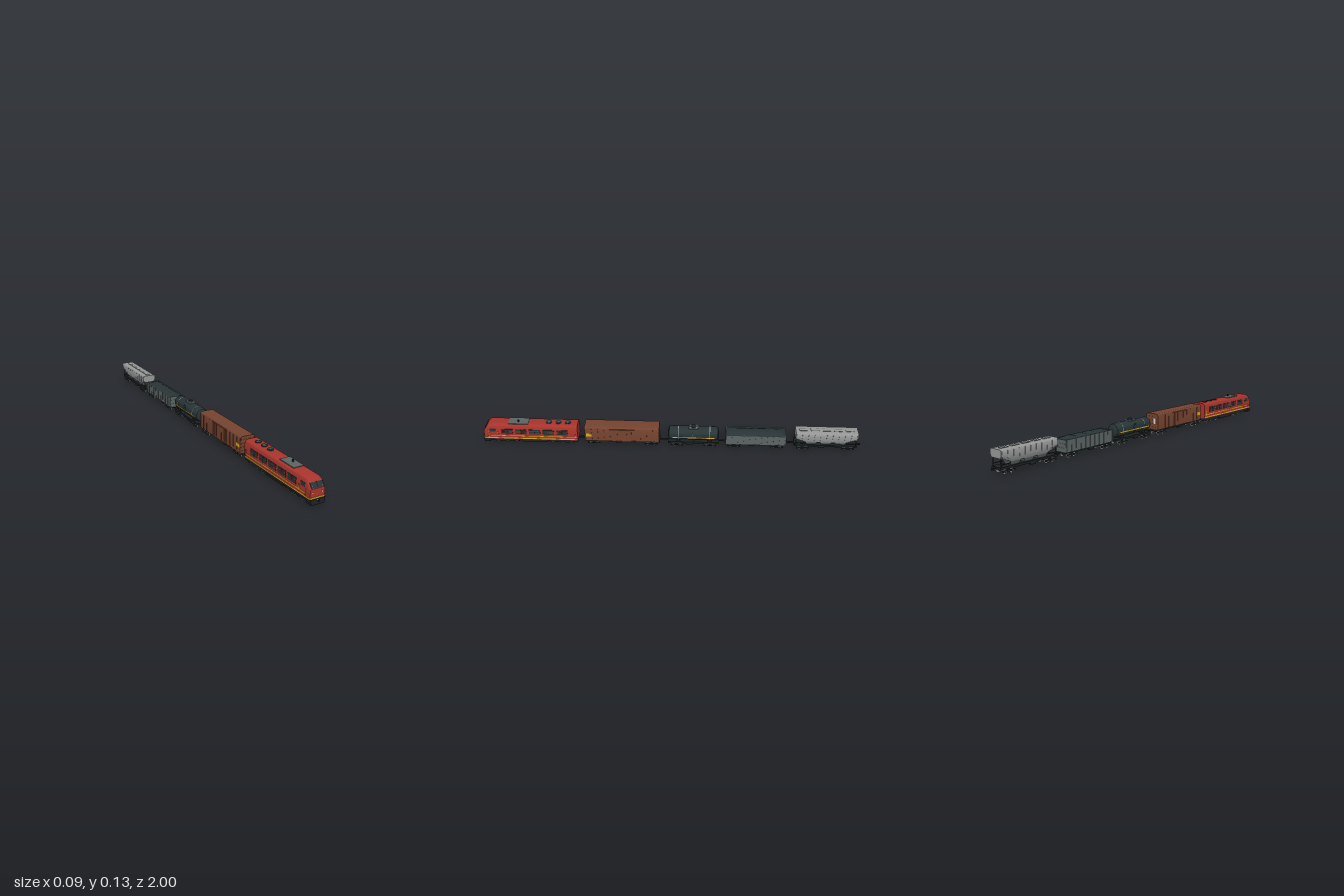
import * as THREE from 'three';
import { toCreasedNormals } from 'three/addons/utils/BufferGeometryUtils.js';

const mat = (name, color) => Object.assign(new THREE.MeshStandardMaterial({ color }), { name });
const red = mat('engine red', 0xa8342c), brown = mat('boxcar brown', 0x75432f), slate = mat('dark slate', 0x283436);
const black = mat('underframe black', 0x1d2224), grey = mat('mid grey', 0x5c6464), light = mat('hopper grey', 0x969998);
const yellow = mat('yellow', 0xdcaa1e), white = mat('off white', 0xd6d8d2), steel = mat('steel', 0x85898a);

function add(parent, name, geometry, material, x = 0, y = 0, z = 0) {
  const m = new THREE.Mesh(geometry, material);
  m.name = name;
  m.position.set(x, y, z);
  parent.add(m);
  return m;
}
const box = (p, name, material, w, h, d, x, y, z) => add(p, name, new THREE.BoxGeometry(w, h, d), material, x, y, z);
const cyl = (p, name, material, r, h, x, y, z, n = 16) => add(p, name, new THREE.CylinderGeometry(r, r, h, n), material, x, y, z);
const group = (p, name) => { const g = new THREE.Group(); g.name = name; p.add(g); return g; };
const bothSides = (f) => [-1, 1].forEach(f);

// Cross-section with rounded shoulders, counter-clockwise seen from +z
function arch(z, hw, bottom, top, r, bottomHw = hw) {
  const pts = [[bottomHw, bottom], [hw, bottom + (top - bottom) * 0.3]];
  for (let i = 0; i <= 6; i++) {
    const a = (i / 6) * Math.PI / 2;
    pts.push([hw - r + r * Math.cos(a), top - r + r * Math.sin(a)]);
  }
  const left = pts.map(([x, y]) => [-x, y]).reverse();
  return [...pts, ...left].map(([x, y]) => [x, y, z]);
}

// Closed skin over sections ordered from low z to high z
function loft(sections) {
  const n = sections[0].length, pos = sections.flat(2), idx = [];
  for (let i = 0; i < sections.length - 1; i++) {
    for (let j = 0; j < n; j++) {
      const k = (j + 1) % n, a = i * n + j, b = i * n + k;
      idx.push(a, b, b + n, a, b + n, a + n);
    }
  }
  const last = (sections.length - 1) * n;
  for (let j = 1; j < n - 1; j++) idx.push(0, j + 1, j, last, last + j, last + j + 1);
  const g = new THREE.BufferGeometry();
  g.setAttribute('position', new THREE.Float32BufferAttribute(pos, 3));
  g.setIndex(idx);
  return toCreasedNormals(g, 0.6);
}

// Bogie with side frames, axles and wheels
function bogie(parent, z, axles, gap) {
  const b = group(parent, 'bogie');
  b.position.z = z;
  const length = gap * (axles - 1) + 0.03;
  box(b, 'bolster', black, 0.05, 0.01, 0.02, 0, 0.017, 0);
  bothSides((s) => box(b, 'sideFrame', black, 0.004, 0.008, length, s * 0.03, 0.015, 0));
  for (let i = 0; i < axles; i++) {
    const az = (i - (axles - 1) / 2) * gap;
    cyl(b, 'axle', steel, 0.003, 0.056, 0, 0.012, az, 8).rotation.z = Math.PI / 2;
    bothSides((s) => {
      cyl(b, 'wheel', steel, 0.012, 0.006, s * 0.022, 0.012, az).rotation.z = Math.PI / 2;
      box(b, 'axleBox', grey, 0.005, 0.007, 0.008, s * 0.0325, 0.012, az);
    });
  }
}

// Underframe, brake gear, couplers and two bogies for a wagon between z0 and z1
function chassis(parent, z0, z1) {
  const mid = (z0 + z1) / 2, len = z1 - z0;
  box(parent, 'underframe', black, 0.06, 0.01, len, 0, 0.029, mid);
  box(parent, 'centreSill', black, 0.014, 0.01, len * 0.9, 0, 0.021, mid);
  bothSides((s) => {
    bogie(parent, mid + s * (len / 2 - 0.045), 2, 0.036);
    box(parent, 'brakeGear', black, 0.012, 0.01, 0.03, s * 0.02, 0.019, mid + 0.02);
    box(parent, 'coupler', black, 0.007, 0.007, 0.026, 0, 0.027, mid + s * (len / 2 + 0.01));
  });
}

function locomotive(train) {
  const g = group(train, 'locomotive');
  add(g, 'body', loft([arch(0.487, 0.04, 0.032, 0.12, 0.02), arch(0.945, 0.04, 0.032, 0.12, 0.02),
    arch(0.962, 0.0395, 0.032, 0.113, 0.016), arch(0.985, 0.038, 0.032, 0.08, 0.008)]), red);
  box(g, 'underframe', black, 0.07, 0.013, 0.47, 0, 0.026, 0.725);
  box(g, 'fuelTank', black, 0.06, 0.018, 0.13, 0, 0.016, 0.72);
  [0.867, 0.575].forEach((z) => bogie(g, z, 3, 0.048));
  bothSides((s) => box(g, 'coupler', black, 0.007, 0.007, 0.03, 0, 0.027, 0.7365 + s * 0.2485));

  // Plough
  const plough = new THREE.Shape([[-0.034, 0.007], [0.034, 0.007], [0.038, 0.033], [-0.038, 0.033]].map((p) => new THREE.Vector2(...p)));
  add(g, 'plough', new THREE.ExtrudeGeometry(plough, { depth: 0.03, bevelEnabled: false }), black, 0, 0, 0.96);
  box(g, 'noseBand', yellow, 0.078, 0.007, 0.003, 0, 0.037, 0.985);
  box(g, 'plateLamp', white, 0.01, 0.006, 0.002, 0, 0.028, 0.9905);

  bothSides((s) => {
    // Windscreen and lamps
    box(g, 'windscreen', slate, 0.031, 0.026, 0.002, s * 0.0165, 0.0925, 0.977).rotation.x = -0.61;
    box(g, 'wiper', white, 0.001, 0.012, 0.001, s * 0.024, 0.0855, 0.983).rotation.x = -0.61;
    box(g, 'headlamp', white, 0.005, 0.005, 0.002, s * 0.025, 0.061, 0.9855);
    // Side stripes, cab windows and handrails
    box(g, 'lowerStripe', yellow, 0.002, 0.006, 0.496, s * 0.0395, 0.037, 0.737);
    box(g, 'upperStripe', yellow, 0.002, 0.004, 0.475, s * 0.0398, 0.053, 0.727);
    box(g, 'cabWindow', slate, 0.002, 0.02, 0.03, s * 0.04, 0.088, 0.936);
    [0.91, 0.957, 0.5].forEach((z) => box(g, 'handrail', yellow, 0.0015, 0.035, 0.002, s * 0.042, 0.06, z));
    // Louvred grilles
    for (let i = 0; i < 5; i++) {
      const z = 0.86 - i * 0.073;
      box(g, 'grille', slate, 0.004, 0.03, 0.06, s * 0.04, 0.081, z);
      [0.075, 0.085].forEach((y) => box(g, 'louvre', red, 0.0055, 0.002, 0.06, s * 0.04, y, z));
      box(g, 'grillePost', slate, 0.006, 0.03, 0.003, s * 0.04, 0.081, z);
    }
  });

  // Roof equipment
  box(g, 'roofHatch', grey, 0.054, 0.004, 0.105, 0, 0.121, 0.8);
  cyl(g, 'exhaust', black, 0.0045, 0.012, 0.007, 0.128, 0.8, 10);
  [0.54, 0.59, 0.64].forEach((z) => {
    cyl(g, 'fanRing', slate, 0.016, 0.004, 0, 0.121, z, 20);
    cyl(g, 'fanHub', grey, 0.006, 0.005, 0, 0.1212, z, 12);
  });
}

function boxcar(train) {
  const g = group(train, 'boxcar');
  chassis(g, 0.055, 0.45);
  add(g, 'body', loft([arch(0.057, 0.038, 0.032, 0.119, 0.008), arch(0.449, 0.038, 0.032, 0.119, 0.008)]), brown);
  bothSides((s) => {
    for (let i = 0; i <= 12; i++) {
      if (i < 5 || i > 7) box(g, 'sideRib', brown, 0.003, 0.076, 0.004, s * 0.0385, 0.071, 0.06 + i * 0.0321);
    }
    box(g, 'door', brown, 0.006, 0.074, 0.1, s * 0.0395, 0.072, 0.253);
    [0.228, 0.278].forEach((z) => box(g, 'doorPost', brown, 0.003, 0.074, 0.003, s * 0.043, 0.072, z));
    [0.035, 0.109].forEach((y) => box(g, 'doorRail', brown, 0.009, 0.003, 0.13, s * 0.0395, y, 0.253));
    box(g, 'label', yellow, 0.004, 0.018, 0.03, s * 0.039, 0.071, 0.428);
    for (let i = 0; i < 4; i++) box(g, 'endRib', brown, 0.07, 0.004, 0.003, 0, 0.045 + i * 0.019, 0.253 + s * 0.196);
  });
  box(g, 'endPanel', white, 0.014, 0.03, 0.004, -0.02, 0.08, 0.0565);
}

function tankCar(train) {
  const g = group(train, 'tankCar');
  chassis(g, -0.255, 0.01);
  const yC = 0.074, zC = -0.122, r = 0.036;
  const profile = [[0, -0.134], [0.024, -0.132], [0.033, -0.127], [r, -0.118], [r, 0.118], [0.033, 0.127], [0.024, 0.132], [0, 0.134]];
  const shell = new THREE.LatheGeometry(profile.map((p) => new THREE.Vector2(...p)), 28);
  add(g, 'tankShell', toCreasedNormals(shell, 0.7), slate, 0, yC, zC).rotation.x = Math.PI / 2;
  [-0.208, -0.043].forEach((z) => {
    add(g, 'strap', new THREE.CylinderGeometry(0.0365, 0.0365, 0.003, 28), light, 0, yC, z).rotation.x = Math.PI / 2;
    box(g, 'saddle', black, 0.05, 0.016, 0.02, 0, 0.039, z);
  });
  bothSides((s) => {
    box(g, 'stripe', yellow, 0.002, 0.005, 0.22, s * 0.0355, 0.066, zC);
    // Platform railing and ladder
    box(g, 'rail', light, 0.0012, 0.0012, 0.05, s * 0.018, 0.13, zC);
    [-0.147, -0.097].forEach((z) => box(g, 'railPost', light, 0.0012, 0.022, 0.0012, s * 0.018, 0.119, z));
    [-0.128, -0.116].forEach((z) => box(g, 'ladderRail', grey, 0.0015, 0.065, 0.0015, s * 0.037, 0.065, z));
    for (let i = 0; i < 6; i++) box(g, 'rung', grey, 0.0012, 0.0012, 0.012, s * 0.037, 0.04 + i * 0.01, zC);
  });
  box(g, 'platform', grey, 0.036, 0.003, 0.05, 0, 0.11, zC);
  cyl(g, 'dome', slate, 0.011, 0.01, 0, 0.115, zC);
  for (const x of [-1, 1]) bothSides((s) => cyl(g, 'valve', white, 0.003, 0.004, x * 0.013, 0.113, zC + s * 0.017, 8));
}

function gondola(train) {
  const g = group(train, 'gondola');
  const z0 = -0.607, z1 = -0.292, mid = (z0 + z1) / 2, len = z1 - z0;
  chassis(g, z0, z1);
  box(g, 'floor', grey, 0.074, 0.004, len, 0, 0.034, mid);
  bothSides((s) => {
    box(g, 'sideWall', grey, 0.003, 0.06, len, s * 0.037, 0.061, mid);
    box(g, 'endWall', grey, 0.074, 0.06, 0.003, 0, 0.061, mid + s * (len / 2 - 0.0015));
    box(g, 'topRim', grey, 0.004, 0.004, len, s * 0.0378, 0.09, mid);
    for (let i = 0; i <= 10; i++) box(g, 'sideRib', grey, 0.003, 0.058, 0.004, s * 0.0395, 0.061, z0 + 0.004 + i * (len - 0.008) / 10);
    [0.05, 0.07].forEach((y) => box(g, 'endRib', grey, 0.074, 0.004, 0.003, 0, y, mid + s * len / 2));
  });
  // Heaped load
  const heap = [[0.003, 0.088], [0.035, 0.096]];
  for (let i = 1; i < 9; i++) heap.push([0.035 + i * (len - 0.07) / 9, 0.098 + 0.002 * Math.sin(i * 2.3)]);
  heap.push([len - 0.035, 0.096], [len - 0.003, 0.088]);
  add(g, 'load', loft(heap.map(([d, top]) => [[0.0355, 0.06], [0.0355, 0.088], [0.018, top], [-0.018, top], [-0.0355, 0.088], [-0.0355, 0.06]]
    .map(([x, y]) => [x, y, z0 + d]))), slate);
}

function hopper(train) {
  const g = group(train, 'hopper');
  const mid = -0.815;
  chassis(g, -0.978, -0.652);
  // Body with raked ends and inclined lower sides
  add(g, 'body', loft([[-0.977, 0.073], [-0.915, 0.051], [-0.715, 0.051], [-0.655, 0.073]]
    .map(([z, b]) => arch(z, 0.037, b, 0.112, 0.01, 0.029))), light);
  bothSides((s) => {
    for (let i = 0; i <= 10; i++) box(g, 'sideRib', light, 0.003, 0.036, 0.003, s * 0.0375, 0.088, mid - 0.157 + i * 0.0314);
    for (let i = 0; i < 5; i++) box(g, 'hatchRail', grey, 0.002, 0.002, 0.04, s * 0.009, 0.113, mid - 0.12 + i * 0.06);
    // End supports and railings
    bothSides((e) => {
      box(g, 'endPost', black, 0.003, 0.042, 0.003, s * 0.027, 0.053, mid + e * 0.156);
      box(g, 'brace', black, 0.003, 0.003, 0.05, s * 0.027, 0.045, mid + e * 0.13);
    });
  });
  for (let i = 0; i < 5; i++) box(g, 'roofHatch', light, 0.016, 0.003, 0.044, 0, 0.1125, mid - 0.12 + i * 0.06);
  // Discharge chutes
  [-0.076, 0, 0.076].forEach((d) => {
    const chute = add(g, 'chute', new THREE.CylinderGeometry(0.046, 0.03, 0.03, 4, 1).rotateY(Math.PI / 4).toNonIndexed(), grey, 0, 0.043, mid + d);
    chute.geometry.computeVertexNormals();
    chute.scale.x = 0.85;
  });
}

export function createModel() {
  const train = new THREE.Group();
  train.name = 'freightTrain';
  [locomotive, boxcar, tankCar, gondola, hopper].forEach((build) => build(train));
  return train;
}
